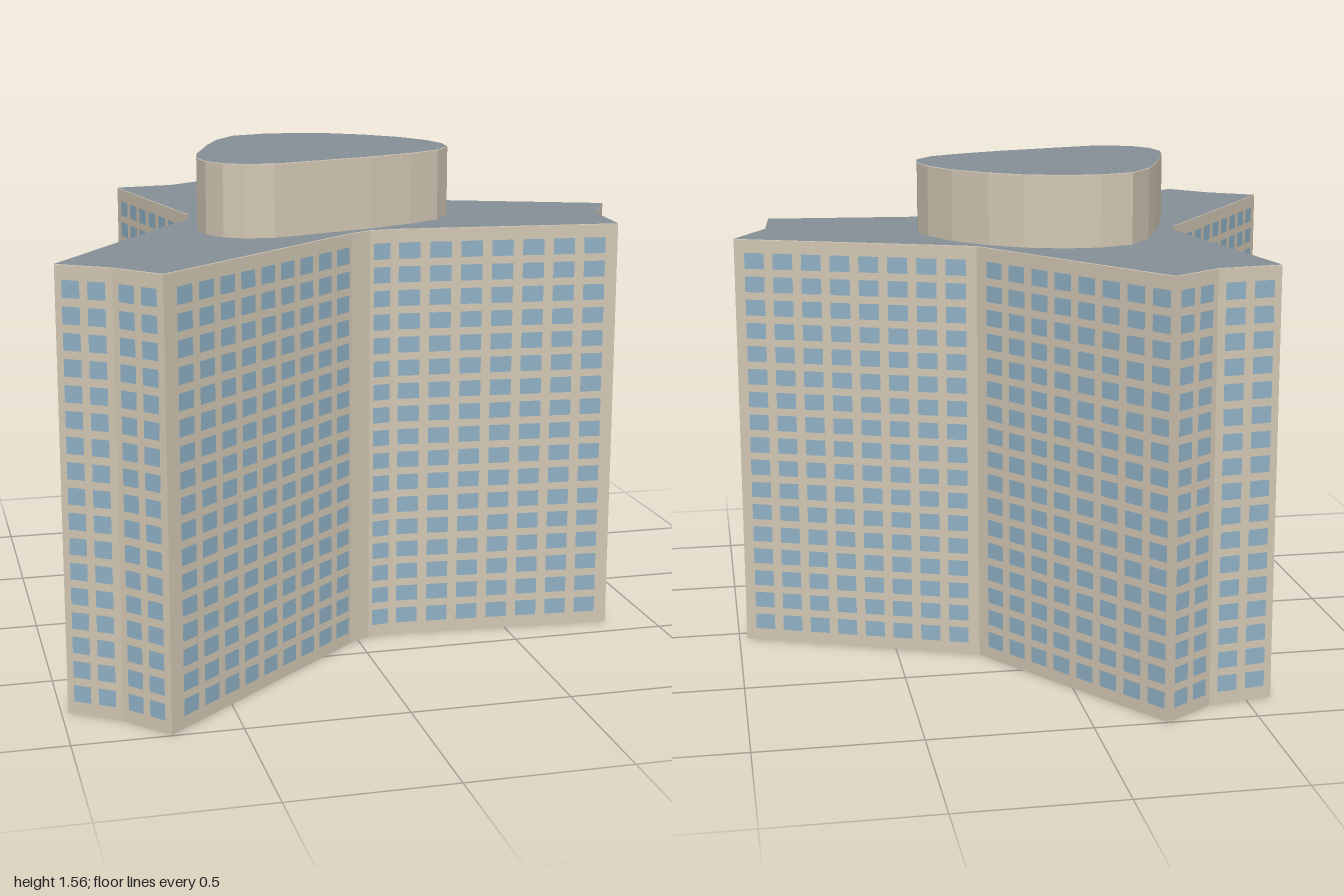
import * as THREE from 'three';
import { mergeGeometries } from 'three/addons/utils/BufferGeometryUtils.js';

const HEIGHT = 1.335, TOP = 1.56, FLOORS = 17;

// Tower corners: x, z, then for the wall that starts here: window columns, margin at start, margin at end
const CORNERS = [
  [-0.58, -0.86, 2, 0.01, 0.01], [-0.38, -0.89, 2, 0.01, 0.01],
  [-0.225, -1, 8, 0, 0.03], [0.24, -0.34, 8, 0.02, 0.02],
  [0.975, -0.05, 2, 0.03, 0.03], [0.865, 0.165, 3, 0.01, 0.01],
  [0.845, 0.41, 7, 0.025, 0], [0.12, 0.355, 1, 0, 0],
  [0.04, 0.365, 0, 0, 0], [-0.03, 0.405, 9, 0, 0.04],
  [-0.71, 0.995, 2, 0.01, 0.01], [-0.83, 0.86, 2, 0.01, 0.01],
  [-0.98, 0.76, 9, 0.03, 0], [-0.475, -0.005, 0, 0, 0],
  [-0.455, -0.06, 0, 0, 0], [-0.45, -0.12, 7, 0, 0.03],
];

// Rounded triangular penthouse outline (x, z)
const PENTHOUSE = [
  [-0.24, -0.4], [-0.13, -0.44], [-0.02, -0.44], [0.1, -0.4], [0.2, -0.33], [0.3, -0.22],
  [0.36, -0.1], [0.38, 0], [0.37, 0.1], [0.31, 0.19], [0.2, 0.26], [0.05, 0.33],
  [-0.12, 0.39], [-0.28, 0.445], [-0.37, 0.435], [-0.43, 0.4], [-0.47, 0.33],
  [-0.48, 0.23], [-0.46, 0.12], [-0.42, 0], [-0.38, -0.13], [-0.32, -0.28],
];

const wallMat = new THREE.MeshStandardMaterial({ color: 0xd2c7b4, flatShading: true });
const roofMat = new THREE.MeshStandardMaterial({ color: 0x868f96 });
const glassMat = new THREE.MeshStandardMaterial({ color: 0x8fb0c4 });

// A prism over a ground outline, with a thin roof skin on top
function prism(name, outline, y0, y1) {
  const group = new THREE.Group();
  group.name = name;
  const shape = new THREE.Shape(outline.map(([x, z]) => new THREE.Vector2(x, -z)));
  const walls = new THREE.Mesh(
    new THREE.ExtrudeGeometry(shape, { depth: y1 - y0, bevelEnabled: false }).rotateX(-Math.PI / 2), wallMat);
  walls.position.y = y0;
  walls.name = name + 'Walls';
  const roof = new THREE.Mesh(new THREE.ShapeGeometry(shape).rotateX(-Math.PI / 2), roofMat);
  roof.position.y = y1 + 0.002;
  roof.name = name + 'Roof';
  group.add(walls, roof);
  return group;
}

// Window grid laid just outside each straight wall
function windowGrid() {
  const panes = [];
  CORNERS.forEach(([x, z, columns, m0, m1], i) => {
    const [x2, z2] = CORNERS[(i + 1) % CORNERS.length];
    const length = Math.hypot(x2 - x, z2 - z);
    const dx = (x2 - x) / length, dz = (z2 - z) / length;
    const cell = (length - m0 - m1) / columns;
    for (let c = 0; c < columns; c++) {
      const s = m0 + (c + 0.5) * cell;
      for (let f = 0; f < FLOORS; f++) {
        panes.push(new THREE.PlaneGeometry(cell * 0.69, 0.051)
          .rotateY(Math.atan2(dz, -dx))
          .translate(x + dx * s + dz * 0.002, 0.065 + f * 0.0752, z + dz * s - dx * 0.002));
      }
    }
  });
  const mesh = new THREE.Mesh(mergeGeometries(panes), glassMat);
  mesh.name = 'windows';
  return mesh;
}

export function createModel() {
  const model = new THREE.Group();
  model.name = 'threeWingedTower';
  model.add(prism('tower', CORNERS, 0, HEIGHT));
  model.add(windowGrid());
  model.add(prism('penthouse', PENTHOUSE, HEIGHT, TOP));
  return model;
}
